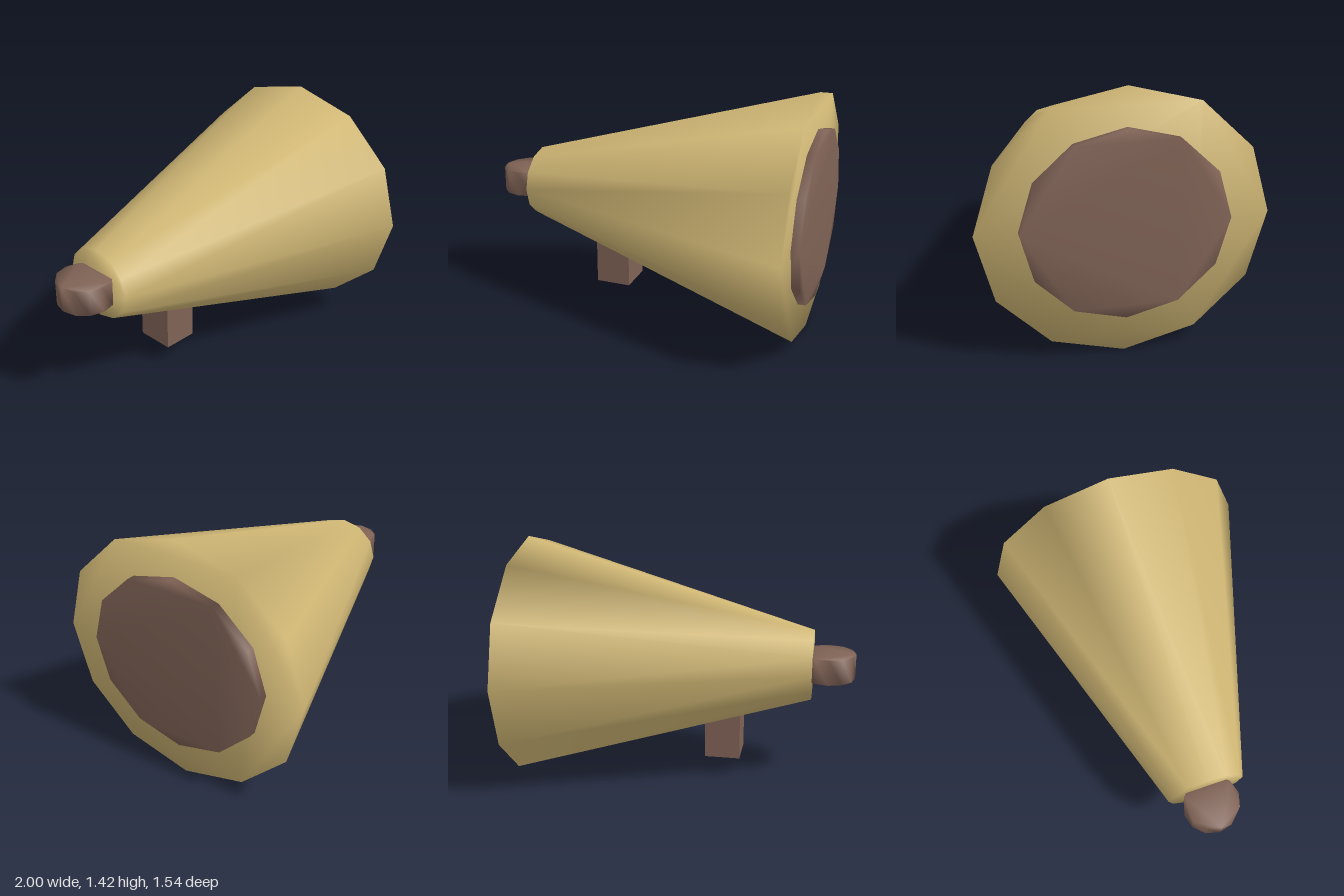
import * as THREE from 'three';
import { mergeVertices } from 'three/addons/utils/BufferGeometryUtils.js';

const AXIS_Y = 0.71;

// Twelve-sided prism along z with softly shared normals; the far end may flare.
function softPrism(rx, ry, depth, flareX = 1, flareY = 1) {
  const points = [];
  for (let i = 0; i < 12; i++) {
    const a = (i / 12) * Math.PI * 2;
    points.push(new THREE.Vector2(Math.cos(a) * rx, Math.sin(a) * ry));
  }
  let geo = new THREE.ExtrudeGeometry(new THREE.Shape(points), { depth, bevelEnabled: false });
  const p = geo.attributes.position;
  for (let i = 0; i < p.count; i++) {
    if (p.getZ(i) > depth / 2) p.setXY(i, p.getX(i) * flareX, p.getY(i) * flareY);
  }
  geo.deleteAttribute('normal');
  geo.deleteAttribute('uv');
  geo.clearGroups();
  geo = mergeVertices(geo, 1e-4);
  geo.computeVertexNormals();
  return geo;
}

export function createModel() {
  const group = new THREE.Group();
  const gold = new THREE.MeshStandardMaterial({ name: 'gold', color: 0xcfb674 });
  const brown = new THREE.MeshStandardMaterial({ name: 'brown', color: 0x806356 });

  const add = (name, geometry, material) => {
    const mesh = new THREE.Mesh(geometry, material);
    mesh.name = name;
    group.add(mesh);
    return mesh;
  };

  // Flared horn, narrow end towards -x
  const horn = softPrism(0.226, 0.207, 1.707, 0.772 / 0.226, 0.708 / 0.207);
  horn.rotateY(Math.PI / 2).translate(-0.752, AXIS_Y, 0);
  add('horn', horn, gold);

  // Disc set in the wide end
  const disc = softPrism(0.55, 0.502, 0.1);
  disc.rotateY(Math.PI / 2).translate(0.9, AXIS_Y, 0);
  add('mouthDisc', disc, brown);

  // Upright round mouthpiece at the narrow end
  const mouthpiece = softPrism(0.155, 0.16, 0.148);
  mouthpiece.rotateX(-Math.PI / 2).translate(-0.845, 0.638, 0);
  add('mouthpiece', mouthpiece, brown);

  // Square grip below the horn
  add('grip', new THREE.BoxGeometry(0.21, 0.375, 0.225), brown).position.set(-0.235, 0.3125, 0);

  return group;
}
